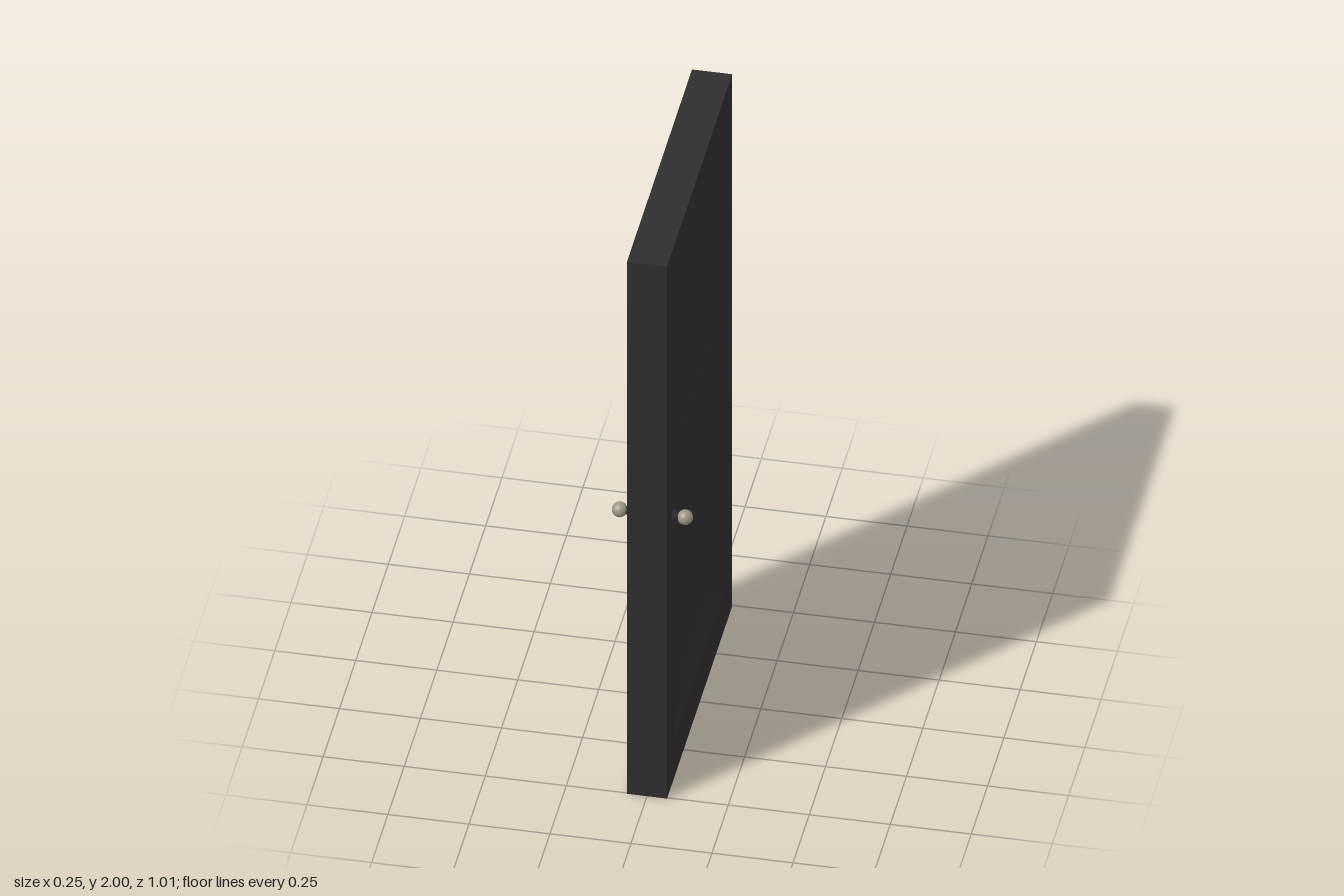
import * as THREE from 'three';

const HALF = 0.062;      // half the door thickness
const CENTRE_Z = 0.004;  // door slab centre, leaving room for the hinges

const rect = (w, y0, y1, z) => [[-w, y0, z], [w, y0, z], [w, y1, z], [-w, y1, z]];

// One half of the slab: outer edges, stile border, moulded step, rail and two sunken panels
function leafGeometry() {
  const pos = [];
  const quad = (a, b, c, d) => pos.push(...a, ...b, ...c, ...a, ...c, ...d);
  const band = (outer, inner) => {
    for (let i = 0; i < 4; i++) {
      const j = (i + 1) % 4;
      quad(outer[i], outer[j], inner[j], inner[i]);
    }
  };
  const step = HALF - 0.012, sunk = HALF - 0.03;
  const rings = [
    rect(0.5, 0, 2, 0),
    rect(0.5, 0, 2, HALF),
    rect(0.385, 0.13, 1.87, HALF),
    rect(0.36, 0.16, 1.84, step),
  ];
  for (let i = 0; i < 3; i++) band(rings[i], rings[i + 1]);
  // Middle rail
  quad(...rect(0.36, 0.88, 1.12, step));
  // Lower and upper panels
  for (const [o0, o1, i0, i1] of [[0.16, 0.88, 0.29, 0.82], [1.12, 1.84, 1.18, 1.71]]) {
    const field = rect(0.23, i0, i1, sunk);
    band(rect(0.36, o0, o1, step), field);
    quad(...field);
  }
  const g = new THREE.BufferGeometry();
  g.setAttribute('position', new THREE.Float32BufferAttribute(pos, 3));
  g.computeVertexNormals();
  return g;
}

export function createModel() {
  const model = new THREE.Group();
  model.name = 'door';
  const dark = new THREE.MeshStandardMaterial({ color: 0x2e2e2e });
  const metal = new THREE.MeshStandardMaterial({ color: 0x9c9684 });

  const add = (name, geometry, material, parent, x, y, z) => {
    const mesh = new THREE.Mesh(geometry, material);
    mesh.name = name;
    mesh.position.set(x, y, z);
    parent.add(mesh);
    return mesh;
  };

  // Slab halves and knobs on both sides
  const leaf = leafGeometry();
  const collar = new THREE.CylinderGeometry(0.011, 0.023, 0.024, 24);
  const ball = new THREE.SphereGeometry(0.024, 32, 20);
  for (const side of [1, -1]) {
    const name = side > 0 ? 'left' : 'right';
    add(name + 'Leaf', leaf, dark, model, 0, 0, CENTRE_Z).rotation.y = side * Math.PI / 2;
    add(name + 'KnobCollar', collar, dark, model, side * 0.071, 1.003, 0.42).rotation.z = -side * Math.PI / 2;
    add(name + 'Knob', ball, metal, model, side * 0.101, 1.003, 0.42);
  }

  // Hinge plates on the back edge
  const plate = new THREE.BoxGeometry(0.095, 0.155, 0.016);
  add('lowerHinge', plate, metal, model, 0, 0.533, -0.496);
  add('upperHinge', plate, metal, model, 0, 1.47, -0.496);

  return model;
}
